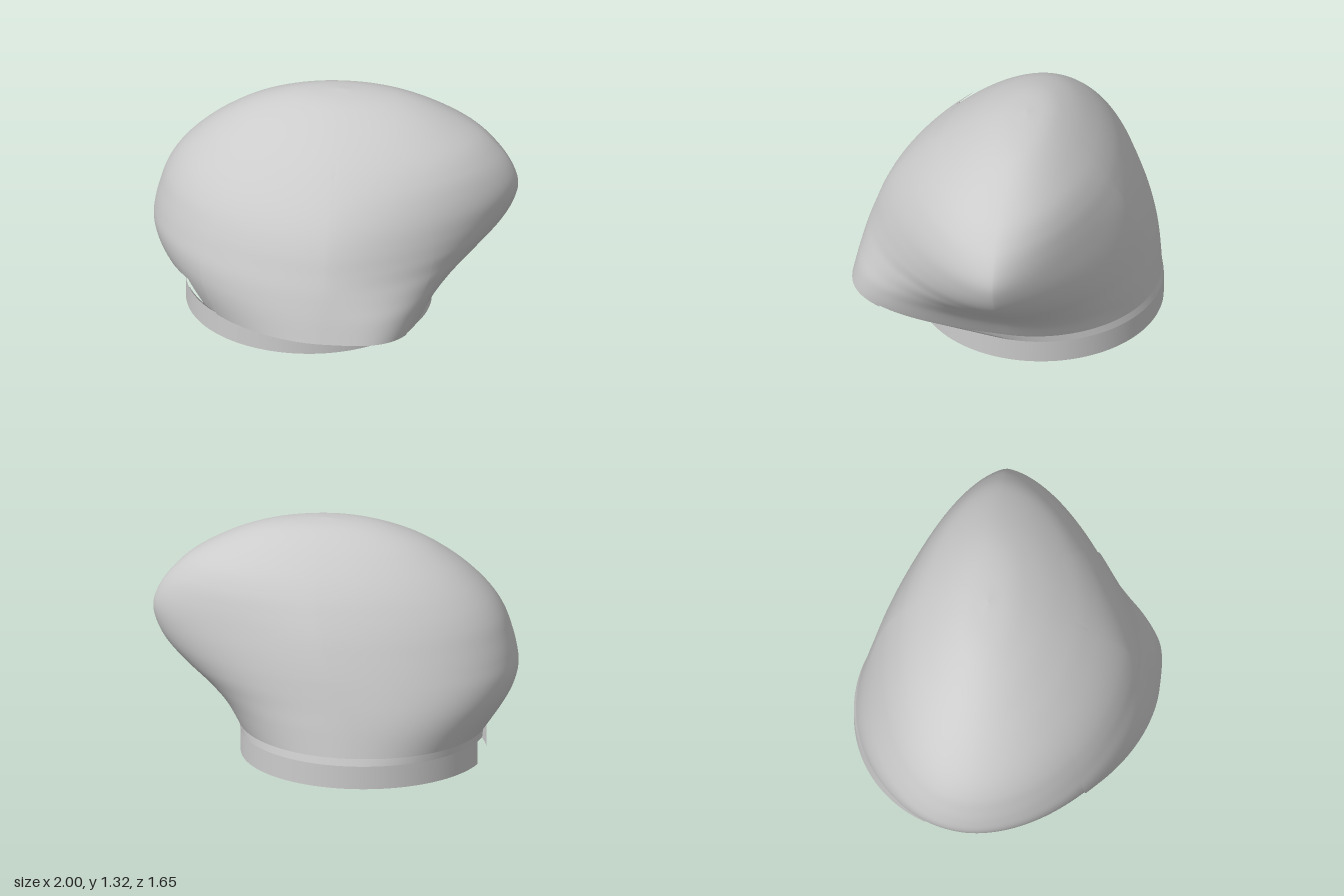
import * as THREE from 'three';

// Dome sections, bottom to top:
// [y, right side x, left side x, front z, back z, front-left roundness, back-left roundness]
const SECTIONS = [
  [0.17, -0.83, 0.53, 0.825, -0.808, 3.6, 2],
  [0.3, -0.92, 0.61, 0.803, -0.79, 2.9, 1.95],
  [0.4, -0.975, 0.71, 0.782, -0.772, 2.25, 1.8],
  [0.5, -1, 0.83, 0.757, -0.75, 1.82, 1.65],
  [0.6, -0.99, 0.925, 0.725, -0.725, 1.65, 1.54],
  [0.7, -0.965, 0.98, 0.69, -0.695, 1.58, 1.49],
  [0.8, -0.93, 1, 0.64, -0.66, 1.58, 1.48],
  [0.9, -0.87, 0.97, 0.57, -0.615, 1.65, 1.56],
  [1.0, -0.78, 0.9, 0.48, -0.56, 1.78, 1.7],
  [1.1, -0.66, 0.79, 0.37, -0.485, 1.9, 1.85],
  [1.2, -0.5, 0.61, 0.23, -0.385, 2, 1.95],
  [1.27, -0.32, 0.43, 0.1, -0.29, 2, 2],
  [1.305, -0.16, 0.25, 0, -0.21, 2, 2],
  [1.32, 0.04, 0.04, -0.11, -0.11, 2, 2],
];
const CZ = -0.11;
const SIDES = 160;
const PI = Math.PI;

// Smooth (Catmull-Rom) blend through the section table
function sectionAt(t) {
  const last = SECTIONS.length - 1;
  const f = t * last;
  const i = Math.min(Math.floor(f), last - 1);
  const u = f - i;
  const row = (k) => SECTIONS[Math.max(0, Math.min(last, k))];
  const [a, b, c, d] = [row(i - 1), row(i), row(i + 1), row(i + 2)];
  return b.map((v, k) => 0.5 * (2 * v + (c[k] - a[k]) * u
    + (2 * a[k] - 5 * v + 4 * c[k] - d[k]) * u * u
    + (3 * v - a[k] - 3 * c[k] + d[k]) * u * u * u));
}

// Point on the dome; each quadrant of a section is its own superellipse
function domePoint(angle, t) {
  const [y, right, left, front, back, nFront, nBack] = sectionAt(t);
  const c = Math.cos(angle), s = Math.sin(angle);
  const isFront = s >= 0;
  const cx = isFront ? THREE.MathUtils.lerp(0.03, 0.04, t) : (left + right) / 2;
  const n = c >= 0 ? (isFront ? nFront : nBack) : (isFront ? 1.85 : 2.15);
  const px = Math.pow(Math.abs(c), 2 / n), pz = Math.pow(Math.abs(s), 2 / n);
  const lift = 0.07 * Math.max(0, s) * Math.max(0, 1 - (y - 0.17) / 0.6) ** 2;
  return new THREE.Vector3(
    cx + (c >= 0 ? left - cx : right - cx) * px,
    y + lift,
    CZ + (isFront ? front - CZ : back - CZ) * pz,
  );
}

// Neck band is round
const bandPoint = (angle, t) => new THREE.Vector3(
  -0.155 + 0.672 * Math.cos(angle), 0.13 * t, -0.15 + 0.67 * Math.sin(angle));

// Grid surface from point(u, v); skip(u, v) leaves a face out
function surface(name, material, point, cols, rows, closed, skip = () => false) {
  const positions = [], index = [];
  const stride = closed ? cols : cols + 1;
  for (let i = 0; i <= rows; i++) {
    for (let j = 0; j < stride; j++) positions.push(...point(j / cols, i / rows).toArray());
  }
  for (let i = 0; i < rows; i++) {
    for (let j = 0; j < cols; j++) {
      if (skip((j + 0.5) / cols, (i + 0.5) / rows)) continue;
      const k = (j + 1) % stride;
      const a = i * stride + j, b = i * stride + k;
      const c = a + stride, d = b + stride;
      index.push(a, c, b, b, c, d);
    }
  }
  const geometry = new THREE.BufferGeometry();
  geometry.setAttribute('position', new THREE.Float32BufferAttribute(positions, 3));
  geometry.setIndex(index);
  geometry.computeVertexNormals();
  const mesh = new THREE.Mesh(geometry, material);
  mesh.name = name;
  return mesh;
}

export function createModel() {
  const group = new THREE.Group();
  group.name = 'roundedShell';
  const material = new THREE.MeshStandardMaterial({ color: 0xcccccc, side: THREE.DoubleSide });
  const turn = (u) => u * 2 * PI;

  // Gap in the right side of the neck, stepping forward and up into the dome
  const gap = (from, to) => (u) => turn(u) > from && turn(u) < to;
  const bandGap = gap(PI, PI + 0.33);
  const undersideGap = gap(PI - 0.35, PI + 0.2);
  const holeGap = gap(PI - 0.6, PI + 0.05);
  const domeGap = (u, v) => holeGap(u) && sectionAt(v)[0] < 0.33;

  group.add(surface('dome', material, (u, v) => domePoint(turn(u), v), SIDES, 104, true, domeGap));
  group.add(surface('neckBand', material, (u, v) => bandPoint(turn(u), v), SIDES, 4, true, bandGap));

  // Underside joins the band to the overhanging front lip
  group.add(surface('underside', material,
    (u, v) => bandPoint(turn(u), 1).lerp(domePoint(turn(u), 0), v), SIDES, 5, true, undersideGap));

  // Front panel lies just proud of the dome, its top edge stepped up on the left
  const centre = new THREE.Vector3(0, 0.3, CZ);
  const panelTop = (u) => (u < 0.42 ? 0.74 - 0.08 * u : 0.66);
  group.add(surface('frontPanel', material, (u, v) => {
    const start = THREE.MathUtils.lerp(0.22, 0.32, v) * PI;
    const end = THREE.MathUtils.lerp(0.76, 0.73, v) * PI;
    const p = domePoint(THREE.MathUtils.lerp(start, end, u), v * panelTop(u));
    return p.sub(centre).multiplyScalar(1.01).add(centre);
  }, 60, 50, false));

  return group;
}
